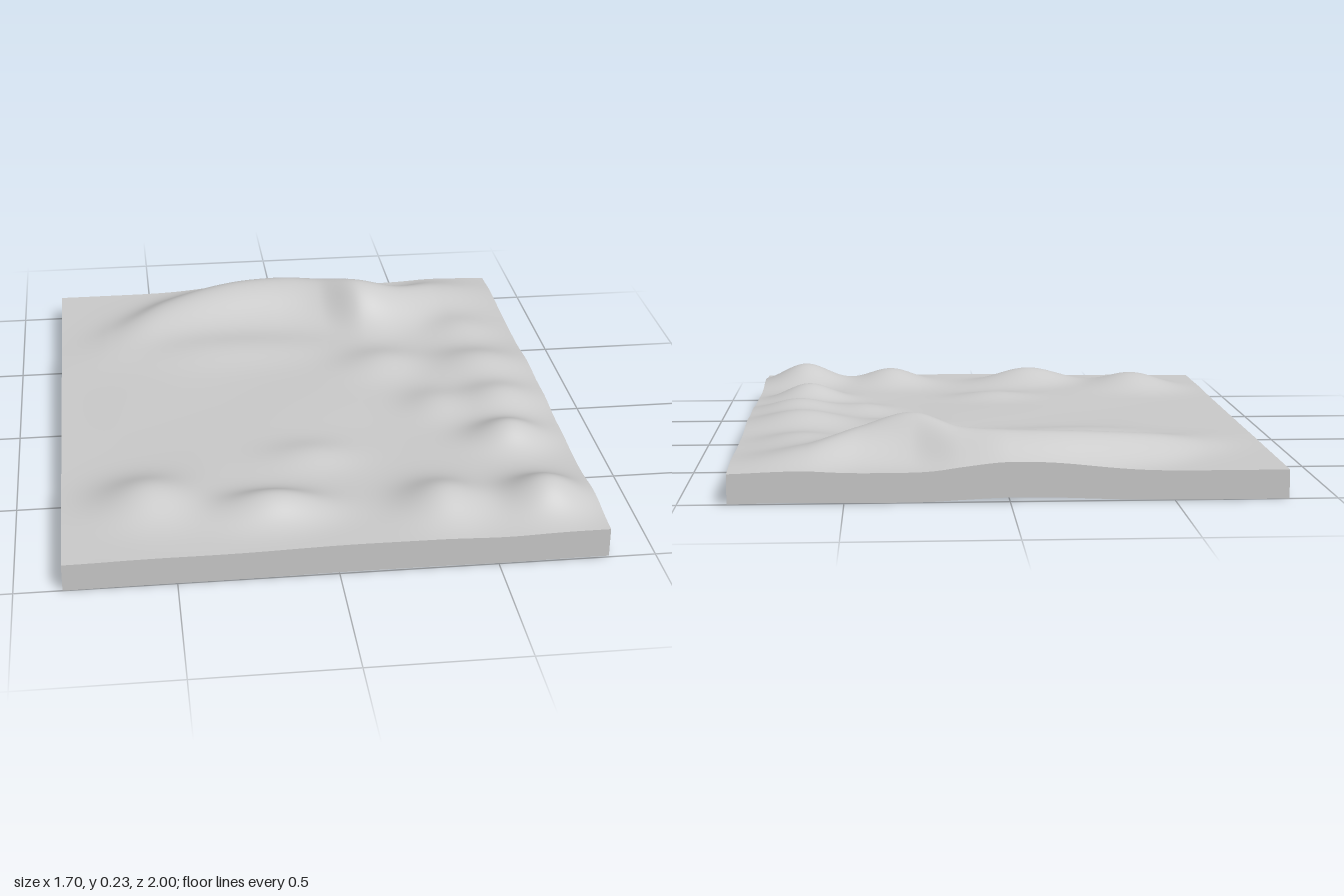
import * as THREE from 'three';

const WIDTH = 1.7, DEPTH = 2, BASE = 0.09;

// Crest of the long back ridge: x, z, height above the base
const CREST = [
  [-0.85, -0.5, 0], [-0.68, -0.58, 0.015], [-0.45, -0.74, 0.06], [-0.22, -0.83, 0.09],
  [0, -0.85, 0.1], [0.15, -0.81, 0.105], [0.29, -0.72, 0.133], [0.45, -0.73, 0.09],
  [0.62, -0.82, 0.05], [0.85, -0.85, 0.01],
];

// Rounded hills: x, z, height, radius along x, radius along z
const HILLS = [
  [-0.58, 0.66, 0.058, 0.15, 0.14],
  [-0.18, 0.76, 0.062, 0.17, 0.1],
  [-0.02, 0.42, 0.022, 0.14, 0.1],
  [0.36, 0.78, 0.06, 0.13, 0.13],
  [0.69, 0.79, 0.08, 0.13, 0.12],
  [0.66, 0.37, 0.062, 0.12, 0.1],
  [0.68, 0.1, 0.05, 0.14, 0.12],
  [0.45, 0.1, 0.025, 0.1, 0.12],
  [0.66, -0.17, 0.052, 0.17, 0.14],
  [0.32, -0.24, 0.032, 0.14, 0.12],
  [0.66, -0.5, 0.025, 0.13, 0.12],
  [-0.2, -0.42, 0.02, 0.35, 0.13],
];

// Smooth interpolation along the crest
function crestAt(x) {
  let i = 0;
  while (i < CREST.length - 2 && x > CREST[i + 1][0]) i++;
  const before = CREST[Math.max(i - 1, 0)], a = CREST[i];
  const b = CREST[i + 1], after = CREST[Math.min(i + 2, CREST.length - 1)];
  const t = THREE.MathUtils.clamp((x - a[0]) / (b[0] - a[0]), 0, 1);
  const spline = (k) => {
    const m0 = (b[k] - before[k]) / 2, m1 = (after[k] - a[k]) / 2;
    const t2 = t * t, t3 = t2 * t;
    return (2 * t3 - 3 * t2 + 1) * a[k] + (t3 - 2 * t2 + t) * m0
      + (3 * t2 - 2 * t3) * b[k] + (t3 - t2) * m1;
  };
  return { z: spline(1), height: spline(2) };
}

const bell = (d) => Math.exp(-d * d);

// Terrain height above the flat base
function relief(x, z) {
  const crest = crestAt(x);
  const dz = z - crest.z;
  let h = crest.height * bell(dz / (dz > 0 ? 0.17 : 0.14));
  for (const [hx, hz, height, rx, rz] of HILLS) {
    h += height * Math.exp(-(((x - hx) / rx) ** 2) - ((z - hz) / rz) ** 2);
  }
  // Gentle ripple, fading out towards the flat left and back edges
  const fade = THREE.MathUtils.smoothstep(x, -0.85, -0.3) * THREE.MathUtils.smoothstep(z, -1, -0.6);
  return h + fade * (0.008 + 0.004 * Math.sin(x * 7 + 1) * Math.cos(z * 6));
}

export function createModel() {
  const group = new THREE.Group();
  group.name = 'terrainSlab';

  // Subdivided box whose top and underside are shaped by the relief
  const geometry = new THREE.BoxGeometry(WIDTH, 1, DEPTH, 130, 1, 150);
  const pos = geometry.attributes.position;
  for (let i = 0; i < pos.count; i++) {
    const x = pos.getX(i), z = pos.getZ(i);
    const h = relief(x, z);
    // The underside lifts slightly where raised ground meets the rim
    const inset = Math.min(WIDTH / 2 - Math.abs(x), DEPTH / 2 - Math.abs(z));
    const lift = 0.4 * h * bell(inset / 0.09);
    pos.setY(i, pos.getY(i) > 0 ? BASE + h : Math.min(lift, 0.015));
  }
  geometry.computeVertexNormals();

  const terrain = new THREE.Mesh(geometry, new THREE.MeshStandardMaterial({ color: 0xcccccc }));
  terrain.name = 'terrain';
  group.add(terrain);
  return group;
}
